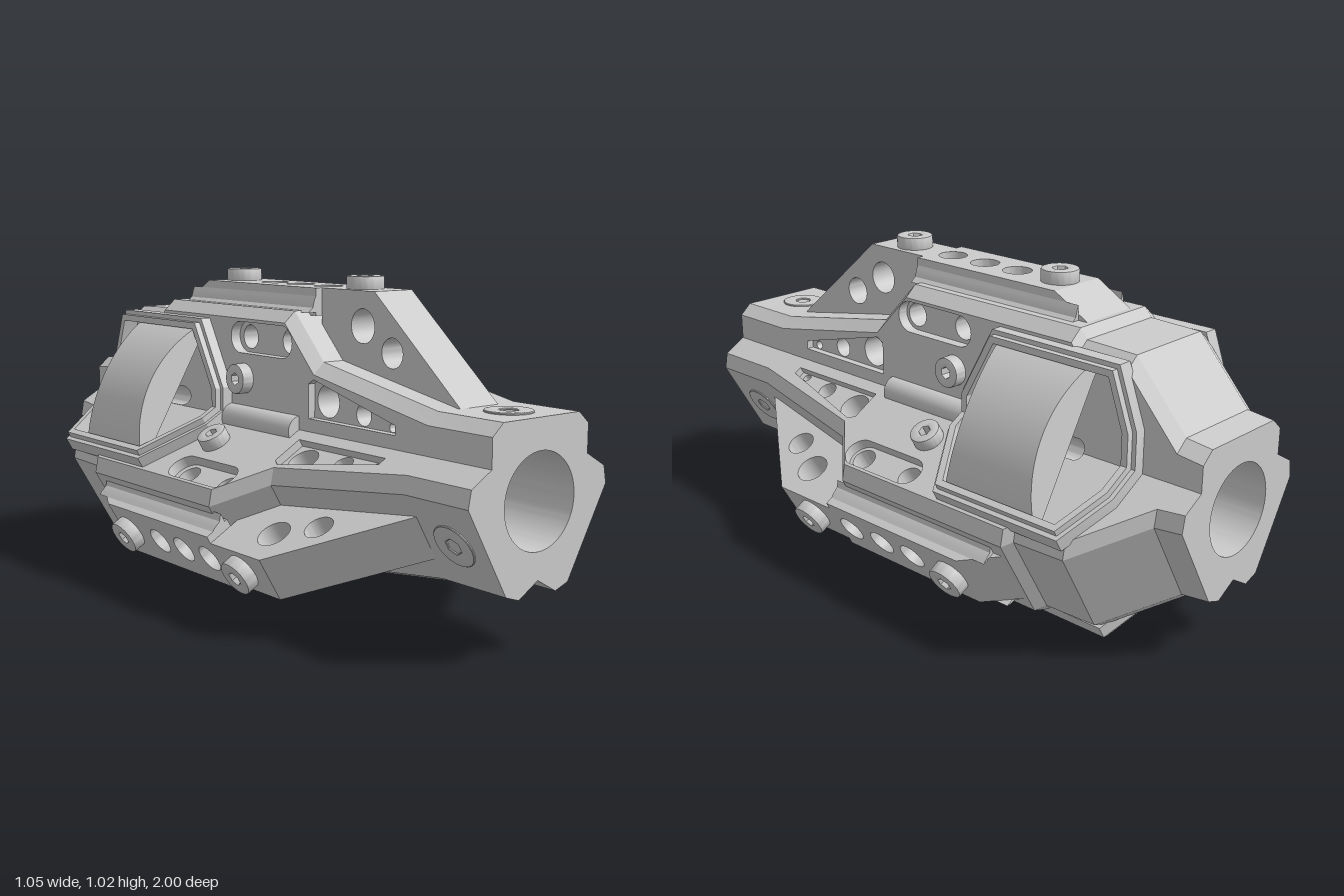
import * as THREE from 'three';
import { toCreasedNormals } from 'three/addons/utils/BufferGeometryUtils.js';

const V = (x, y) => new THREE.Vector2(x, y);
const grey = new THREE.MeshStandardMaterial({ color: 0xcccccc });

function circle(x, y, r) {
  return new THREE.Path().absarc(x, y, r, 0, Math.PI * 2, true);
}

// Rounded slot from z0 to z1 at radial height y
function pill(Type, z0, z1, y, r) {
  const p = new Type();
  p.absarc(z1 - r, y, r, -Math.PI / 2, Math.PI / 2, false);
  p.absarc(z0 + r, y, r, Math.PI / 2, Math.PI * 1.5, false);
  p.closePath();
  return p;
}

function shapeOf(points, holes = []) {
  const s = new THREE.Shape(points.map(([x, y]) => V(x, y)));
  s.holes.push(...holes);
  return s;
}

function extrude(shape, depth, opts = {}) {
  return new THREE.ExtrudeGeometry(shape, { depth, bevelEnabled: false, curveSegments: 16, ...opts });
}

// Side profile in (z, radius), extruded across x from x0 to x1
function sideways(shape, x0, x1, opts) {
  return extrude(shape, x1 - x0, opts).rotateY(-Math.PI / 2).translate(x1, 0, 0);
}

function add(parent, name, geometry) {
  const mesh = new THREE.Mesh(toCreasedNormals(geometry, 0.5), grey);
  mesh.name = name;
  parent.add(mesh);
  return mesh;
}

// Socket head screw standing on y = 0
function screw(parent, name, r, h) {
  const g = new THREE.Group();
  g.name = name;
  const hex = [];
  for (let i = 0; i < 6; i++) hex.push(V(Math.cos(i * Math.PI / 3) * r * 0.5, -Math.sin(i * Math.PI / 3) * r * 0.5));
  const head = new THREE.Shape().absarc(0, 0, r * 0.9, 0, Math.PI * 2, false);
  head.holes.push(new THREE.Path(hex));
  const b = r * 0.1;
  const e = Math.min(b, h * 0.3);
  add(g, 'screwHead', extrude(head, h - e, {
    bevelEnabled: true, bevelSize: b, bevelThickness: e, bevelOffset: 0, bevelSegments: 2, curveSegments: 24,
  }).rotateX(-Math.PI / 2));
  add(g, 'socketFloor', new THREE.CylinderGeometry(r * 0.7, r * 0.7, h * 0.2, 24).translate(0, h * 0.1, 0));
  parent.add(g);
  return g;
}

const HW = 0.19; // half width of an arm
const BASE = 0.147; // inner radius of an arm

// Central tube joining the three arms
function coreGeometry() {
  const pts = [];
  for (let i = 0; i < 3; i++) {
    for (const [x, y] of [[HW, HW / Math.sqrt(3)], [HW, BASE], [-HW, BASE]]) {
      const p = V(x, y).rotateAround(V(0, 0), i * Math.PI * 2 / 3);
      pts.push([p.x, p.y]);
    }
  }
  const s = shapeOf(pts, [circle(0, 0, 0.139)]);
  return extrude(s, 2, { curveSegments: 48 }).translate(0, 0, -1);
}

// Arm body with chamfered outer edges
function armGeometry(triangle) {
  const outline = [[-1, BASE], [1, BASE], [1, 0.23], [0.76, 0.23], [0.27, 0.32], [0.13, 0.465],
    [-0.54, 0.465], [-0.565, 0.435], [-0.74, 0.43], [-0.915, 0.235], [-1, 0.225]];
  const holes = [new THREE.Path(triangle.map(([x, y]) => V(x, y))), pill(THREE.Path, -0.15, 0.165, 0.37, 0.05)];
  const g = sideways(shapeOf(outline, holes), -HW, HW, { steps: 3 });
  const p = g.attributes.position;
  for (let i = 0; i < p.count; i++) {
    const x = p.getX(i), y = p.getY(i), z = p.getZ(i);
    if (Math.abs(x) < 0.1) p.setX(i, Math.sign(x) * 0.15);
    else if (y > 0.2 && outline.some(([a, b]) => Math.hypot(a - z, b - y) < 1e-4)) p.setY(i, y - 0.035);
  }
  return g;
}

function buildArm() {
  const arm = new THREE.Group();
  arm.name = 'arm';
  const triangle = [[0.63, 0.15], [0.63, 0.178], [0.27, 0.27], [0.245, 0.255], [0.245, 0.15]];
  add(arm, 'armBody', armGeometry(triangle));

  // Recessed webs with round holes
  add(arm, 'taperWeb', sideways(shapeOf(triangle,
    [circle(0.595, 0.165, 0.014), circle(0.47, 0.185, 0.032), circle(0.31, 0.207, 0.05)]), -0.165, 0.165));
  const slotWeb = pill(THREE.Shape, -0.15, 0.165, 0.37, 0.05);
  slotWeb.holes.push(circle(0.115, 0.37, 0.038), circle(-0.09, 0.37, 0.038));
  add(arm, 'slotWeb', sideways(slotWeb, -0.155, 0.155));

  // Sloping front fin
  add(arm, 'frontFin', sideways(shapeOf(
    [[0.77, 0.22], [0.77, 0.23], [0.41, 0.535], [0.17, 0.535], [0.17, 0.38], [0.28, 0.3]],
    [circle(0.49, 0.36, 0.045), circle(0.36, 0.43, 0.052)]), -0.075, 0.075));

  // Top rail: plan shape (x, -z) with screw holes, then a sloping tail
  const rail = shapeOf([[-0.1, -0.17], [0.1, -0.17], [0.1, 0.4], [-0.1, 0.4]],
    [-0.11, 0.03, 0.165].map((y) => circle(0, y, 0.046)));
  add(arm, 'topRail', extrude(rail, 0.085).rotateX(-Math.PI / 2).translate(0, 0.45, 0));
  add(arm, 'railTail', sideways(shapeOf([[-0.55, 0.43], [-0.4, 0.43], [-0.4, 0.535], [-0.55, 0.45]]), -0.1, 0.1));
  for (const s of [-1, 1]) {
    const fillet = [[0.1, 0.46], [0.13, 0.46], [0.112, 0.475], [0.105, 0.5], [0.1, 0.51]].map(([x, y]) => [x * s, y]);
    if (s < 0) fillet.reverse();
    add(arm, 'railFillet', extrude(shapeOf(fillet), 0.66).translate(0, 0, -0.49));
  }

  // Screws
  for (const z of [0.285, -0.335]) screw(arm, 'railScrew', 0.058, 0.05).position.set(0, 0.525, z);
  screw(arm, 'frontScrew', 0.07, 0.01).position.set(0, 0.226, 0.88);
  for (const s of [-1, 1]) {
    const side = screw(arm, 'sideScrew', 0.048, 0.045);
    side.position.set(s * 0.185, 0.24, -0.08);
    side.rotation.z = -s * Math.PI / 2;
  }

  // Stepped rim around the pad window, one half on each side of the arm
  const outer = [[-0.15, 0.11], [-0.15, 0.205], [-0.27, 0.42], [-0.74, 0.42], [-0.805, 0.24], [-0.805, 0.11]];
  const inner = [[-0.185, 0.11], [-0.185, 0.195], [-0.292, 0.385], [-0.717, 0.385], [-0.77, 0.235], [-0.77, 0.11]];
  const lip = outer.map(([z, y], i) => [z + (inner[i][0] - z) * 0.4, y + (inner[i][1] - y) * 0.4]);
  const window = inner.slice().reverse();
  for (const s of [-1, 1]) {
    for (const [edge, t] of [[outer, 0.225], [lip, 0.245]]) {
      const x0 = s > 0 ? 0.18 : -t, x1 = s > 0 ? t : -0.18;
      add(arm, 'windowRim', sideways(shapeOf([...edge, ...window]), x0, x1));
    }
  }
  return arm;
}

function buildValley() {
  const valley = new THREE.Group();
  valley.name = 'valley';

  // Curved pad with slanted flanks and a hole running lengthwise
  const a = THREE.MathUtils.degToRad(36);
  const s = new THREE.Shape();
  s.moveTo(0, 0.2);
  s.absarc(0, 0, 0.45, Math.PI / 2 - a, Math.PI / 2 + a, false);
  s.closePath();
  s.holes.push(circle(0, 0.347, 0.032));
  const g = extrude(s, 0.29, { curveSegments: 24 }).translate(0, 0, -0.145);
  const p = g.attributes.position;
  for (let i = 0; i < p.count; i++) {
    const z = p.getZ(i);
    p.setZ(i, z + Math.sign(z) * (0.45 - p.getY(i)) * 0.4 - 0.465);
  }
  add(valley, 'curvedPad', g);

  // Pin lying in the groove
  add(valley, 'groovePin', new THREE.CylinderGeometry(0.045, 0.045, 0.35, 20)
    .rotateX(Math.PI / 2).translate(0, 0.215, 0.025));
  return valley;
}

export function createModel() {
  const model = new THREE.Group();
  model.name = 'threeArmedTool';
  const body = new THREE.Group();
  body.name = 'body';
  body.position.y = 0.45;
  model.add(body);
  add(body, 'coreTube', coreGeometry());
  for (let i = 0; i < 3; i++) {
    const arm = buildArm();
    arm.rotation.z = i * Math.PI * 2 / 3;
    const valley = buildValley();
    valley.rotation.z = Math.PI / 3 + i * Math.PI * 2 / 3;
    body.add(arm, valley);
  }
  return model;
}
